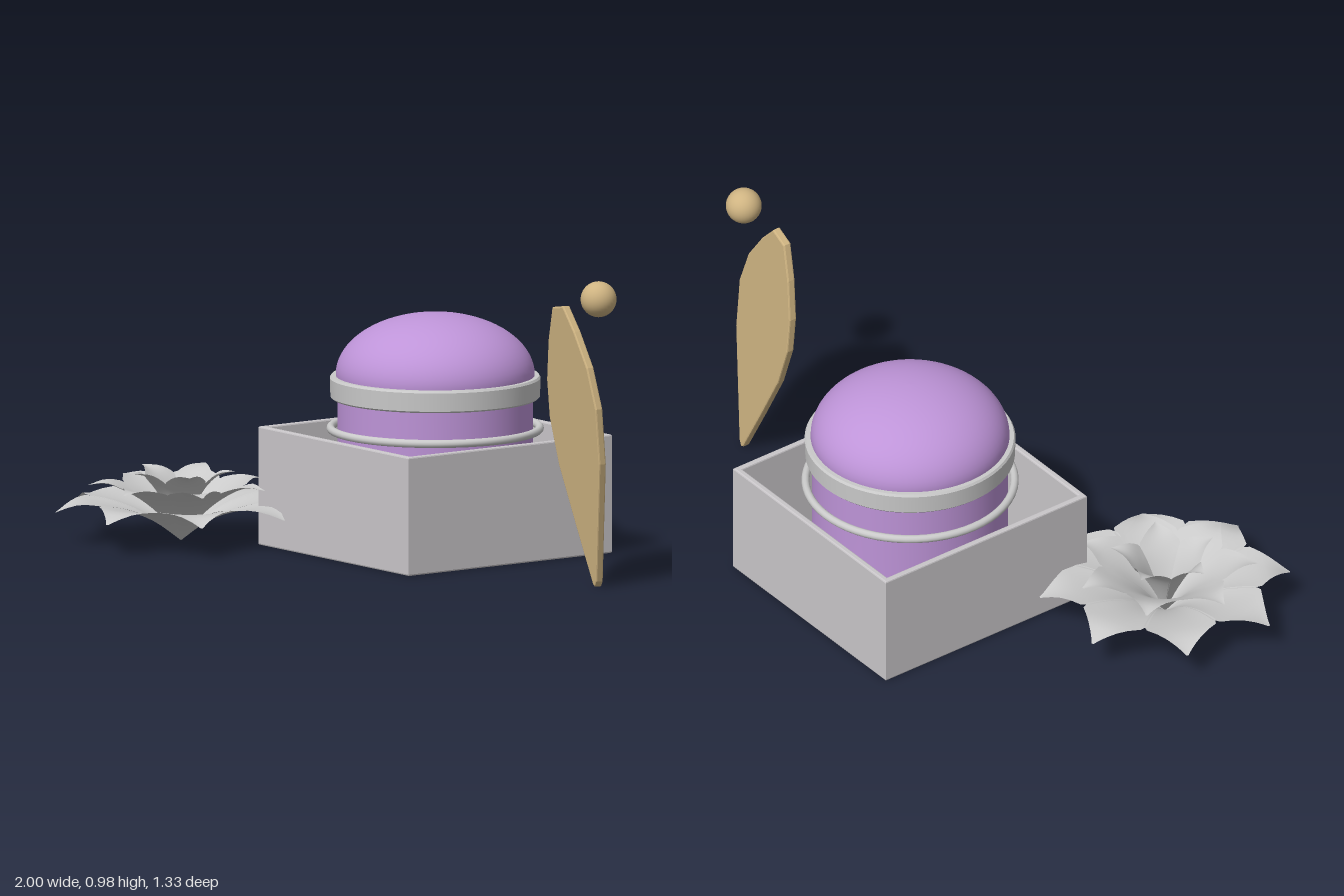
import * as THREE from 'three';

const mat = (name, color, side = THREE.FrontSide) => {
  const m = new THREE.MeshStandardMaterial({ color, side });
  m.name = name;
  return m;
};

const add = (parent, name, geometry, material, x = 0, y = 0, z = 0) => {
  const mesh = new THREE.Mesh(geometry, material);
  mesh.name = name;
  mesh.position.set(x, y, z);
  parent.add(mesh);
  return mesh;
};

const lathe = (pts, segments = 64) =>
  new THREE.LatheGeometry(pts.map(([r, y]) => new THREE.Vector2(r, y)), segments);

const square = (Type, h) => {
  const s = new Type();
  s.moveTo(-h, -h).lineTo(h, -h).lineTo(h, h).lineTo(-h, h).closePath();
  return s;
};

// Pointed petal along +x: a rising centre line, widening to the shoulder, then narrowing to the tip
function petalGeometry(count, profile, shoulder) {
  const rows = 16, cols = 6;
  const curve = new THREE.SplineCurve(profile.map(([r, y]) => new THREE.Vector2(r, y)));
  const length = profile[profile.length - 1][0];
  const spread = Math.tan(Math.PI / count) * 1.06;
  const geo = new THREE.PlaneGeometry(1, 1, cols, rows);
  const pos = geo.attributes.position;
  for (let i = 0; i < pos.count; i++) {
    const v = pos.getX(i) * 2, t = pos.getY(i) + 0.5;
    const c = curve.getPoint(t);
    const u = c.x / length;
    const k = Math.max(0, (1 - u) / (1 - shoulder));
    const half = u < shoulder ? c.x * spread : shoulder * length * spread * (0.03 + 0.97 * Math.pow(k, 1.15));
    pos.setXYZ(i, c.x, c.y + 0.012 * v * v * Math.sin(Math.PI * Math.min(1, u)), half * v);
  }
  geo.computeVertexNormals();
  return geo;
}

export function createModel() {
  const group = new THREE.Group();
  const boxGrey = mat('box grey', 0xc9c6c9);
  const trimGrey = mat('trim grey', 0xcacaca, THREE.DoubleSide);
  const purple = mat('purple', 0xbe94d8);
  const gold = mat('gold', 0xcfb482);
  const cz = -0.267;

  // Open box: hollow walls and a floor
  const bevel = 0.005;
  const outline = square(THREE.Shape, 0.395);
  outline.holes.push(square(THREE.Path, 0.384));
  const walls = new THREE.ExtrudeGeometry(outline, {
    depth: 0.37, bevelEnabled: true, bevelSize: bevel, bevelThickness: bevel, bevelSegments: 2,
  });
  walls.rotateX(-Math.PI / 2);
  const box = new THREE.Group();
  box.name = 'box';
  box.position.z = cz;
  group.add(box);
  add(box, 'boxWalls', walls, boxGrey, 0, bevel, 0);
  add(box, 'boxFloor', new THREE.BoxGeometry(0.775, 0.02, 0.775), boxGrey, 0, 0.011, 0);

  // Domed canister standing in the box
  const profile = [[0, 0.02], [0.31, 0.02], [0.31, 0.02], [0.31, 0.53], [0.315, 0.555]];
  for (let i = 1; i <= 20; i++) {
    const a = (i / 20) * Math.PI / 2;
    profile.push([0.315 * Math.cos(a), 0.56 + 0.195 * Math.sin(a)]);
  }
  add(group, 'domedCanister', lathe(profile), purple, 0, 0, cz);

  // Wide band under the dome and thin ring at the box rim
  const band = [[0.305, 0.486], [0.327, 0.486], [0.327, 0.486], [0.332, 0.491], [0.332, 0.491],
    [0.334, 0.55], [0.334, 0.55], [0.329, 0.557], [0.329, 0.557], [0.305, 0.557]];
  add(group, 'band', lathe(band), trimGrey, 0, 0, cz);
  const ring = new THREE.TorusGeometry(0.331, 0.013, 12, 64);
  ring.rotateX(Math.PI / 2);
  add(group, 'rimRing', ring, trimGrey, 0, 0.388, cz);

  // Flower: three rings of petals sharing one base point
  const flower = new THREE.Group();
  flower.name = 'flower';
  flower.position.set(-0.62, 0, 0.275);
  group.add(flower);
  const layers = [
    ['outerPetal', 8, 27, 0.70, [[0, 0], [0.09, 0.065], [0.2, 0.108], [0.32, 0.127], [0.402, 0.1]]],
    ['middlePetal', 7, 23, 0.62, [[0, 0], [0.07, 0.085], [0.15, 0.147], [0.23, 0.182], [0.292, 0.178]]],
    ['innerPetal', 5, 27, 0.52, [[0, 0], [0.035, 0.09], [0.075, 0.165], [0.12, 0.21], [0.172, 0.225]]],
  ];
  for (const [name, count, start, shoulder, points] of layers) {
    const geo = petalGeometry(count, points, shoulder);
    for (let i = 0; i < count; i++) {
      const petal = add(flower, name, geo, trimGrey);
      petal.rotation.y = -THREE.MathUtils.degToRad(start + (i * 360) / count);
    }
  }

  // Upright leaf blade, sheared to lean back at its foot and turn slightly
  const blade = new THREE.Shape([
    [0.92, 0.006], [0.93, 0.02], [0.995, 0.405], [0.99, 0.58], [0.942, 0.705], [0.863, 0.81], [0.795, 0.88],
    [0.724, 0.868], [0.685, 0.76], [0.66, 0.63], [0.665, 0.51], [0.714, 0.365], [0.81, 0.19], [0.912, 0.01],
  ].map(([x, y]) => new THREE.Vector2(x, y)));
  const leaf = new THREE.ExtrudeGeometry(blade, {
    depth: 0.018, bevelEnabled: true, bevelSize: 0.005, bevelThickness: 0.005, bevelSegments: 2,
  });
  const p = leaf.attributes.position;
  for (let i = 0; i < p.count; i++) {
    p.setY(i, Math.max(0, p.getY(i)));
    p.setZ(i, p.getZ(i) - 0.252 + 0.063 * p.getY(i) + 0.18 * (p.getX(i) - 0.83));
  }
  leaf.computeVertexNormals();
  add(group, 'leafBlade', leaf, gold);

  // Ball floating above the blade
  add(group, 'ball', new THREE.SphereGeometry(0.057, 32, 20), gold, 0.922, 0.92, -0.228);

  return group;
}
